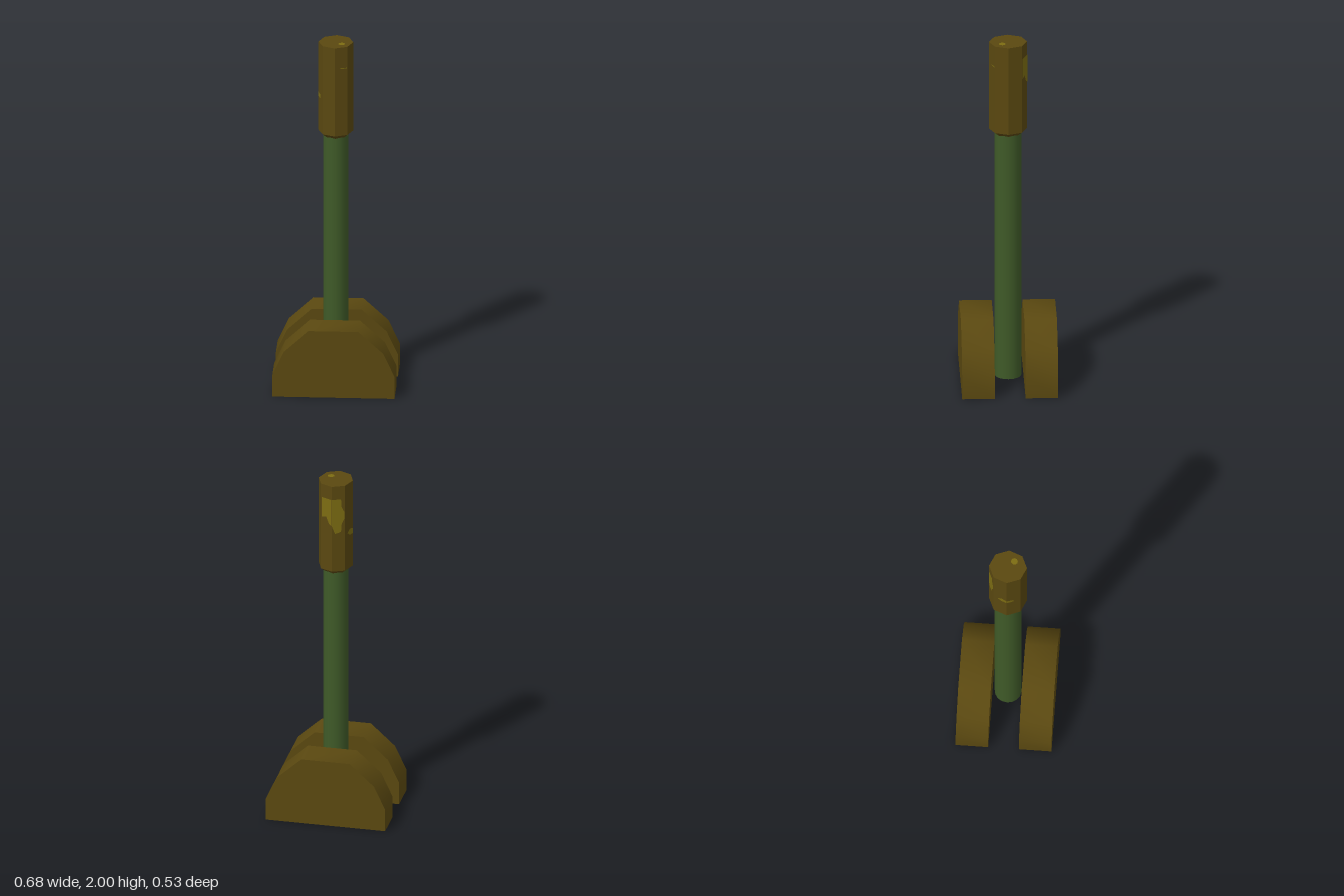
import * as THREE from 'three';

const bronze = new THREE.MeshStandardMaterial({ color: 0x5a4810, side: THREE.DoubleSide });
const green = new THREE.MeshStandardMaterial({ color: 0x3f5a28, side: THREE.DoubleSide });
const wornYellow = new THREE.MeshStandardMaterial({ color: 0x7c6c12, side: THREE.DoubleSide });
bronze.name = 'bronze';
green.name = 'green';
wornYellow.name = 'wornYellow';

const GRIP_X = 0.096, GRIP_Z = 0.105;

function addMesh(parent, name, geometry, material) {
  const mesh = new THREE.Mesh(geometry, material);
  mesh.name = name;
  parent.add(mesh);
  return mesh;
}

// Hollow base block, open underneath: two flat cheeks and a smooth rim
const outline = [[-0.338, 0], [-0.338, 0.13], [-0.275, 0.265], [-0.138, 0.39],
  [0.138, 0.39], [0.275, 0.265], [0.338, 0.13], [0.338, 0]];

function baseBlock(name, z) {
  const block = new THREE.Group();
  const half = 0.09;
  block.name = name;
  block.position.z = z;

  const shape = new THREE.Shape(outline.map(([x, y]) => new THREE.Vector2(x, y)));
  const cheek = new THREE.ShapeGeometry(shape);
  addMesh(block, 'frontCheek', cheek, bronze).position.z = half;
  const back = addMesh(block, 'backCheek', cheek, bronze);
  back.position.z = -half;
  back.rotation.y = Math.PI;

  const rim = new THREE.PlaneGeometry(1, 1, outline.length - 1, 1);
  const pos = rim.attributes.position;
  for (let i = 0; i < pos.count; i++) {
    const [x, y] = outline[i % outline.length];
    pos.setXYZ(i, x, y, i < outline.length ? -half : half);
  }
  rim.computeVertexNormals();
  addMesh(block, 'rim', rim, bronze);
  return block;
}

// Corner of the eight-sided grip, counted from +z towards +x
function gripCorner(k) {
  const a = k * Math.PI / 4;
  return new THREE.Vector3(Math.sin(a) * GRIP_X, 0, Math.cos(a) * GRIP_Z);
}

// Worn patch laid on one grip face; points are [fraction across the face, height]
function facePatch(face, points) {
  const geometry = new THREE.ShapeGeometry(
    new THREE.Shape(points.map(([s, y]) => new THREE.Vector2(s, y))));
  const a = gripCorner(face), b = gripCorner(face + 1);
  const out = new THREE.Vector3(a.z - b.z, 0, b.x - a.x).normalize().multiplyScalar(0.0015);
  const pos = geometry.attributes.position;
  for (let i = 0; i < pos.count; i++) {
    const p = a.clone().lerp(b, pos.getX(i)).add(out);
    pos.setXYZ(i, p.x, pos.getY(i), p.z);
  }
  geometry.computeVertexNormals();
  return geometry;
}

export function createModel() {
  const model = new THREE.Group();
  model.name = 'lever';

  // Base blocks either side of the rod
  model.add(baseBlock('frontBase', 0.175), baseBlock('backBase', -0.175));

  // Rod, open at the foot
  const rod = new THREE.CylinderGeometry(0.07, 0.07, 1.46, 16, 1, true);
  rod.scale(0.98, 1, 1.05);
  rod.translate(0, 0.73, 0);
  addMesh(model, 'rod', rod, green);

  // Faceted grip with a chamfered lower end
  const profile = [[0.7, 1.455], [1, 1.48], [1, 2], [0, 2]]
    .map(([r, y]) => new THREE.Vector2(r, y));
  const lathe = new THREE.LatheGeometry(profile, 8);
  lathe.scale(GRIP_X, 1, GRIP_Z);
  const grip = lathe.toNonIndexed();
  grip.computeVertexNormals();
  addMesh(model, 'grip', grip, bronze);

  // Worn patches on the grip
  const patches = [
    [3, [[0.1, 1.8], [0.5, 1.81], [0.75, 1.77], [1, 1.76], [1, 1.92], [0.1, 1.92]]],
    [4, [[0, 1.76], [0.25, 1.71], [0.7, 1.72], [0.75, 1.77], [0.95, 1.8],
      [0.95, 1.84], [0.75, 1.87], [0.7, 1.92], [0, 1.92]]],
    [5, [[0.3, 1.7], [0.6, 1.68], [1, 1.68], [1, 1.71], [0.6, 1.72]]],
    [6, [[0, 1.68], [0.5, 1.68], [0.5, 1.7], [0, 1.71]]],
    [0, [[0.45, 1.875], [0.95, 1.873], [0.95, 1.878], [0.45, 1.88]]],
  ];
  for (const [face, points] of patches) addMesh(model, 'wornPatch', facePatch(face, points), wornYellow);

  const spot = new THREE.CircleGeometry(0.019, 9);
  spot.rotateX(-Math.PI / 2);
  addMesh(model, 'wornTopSpot', spot, wornYellow).position.set(0.034, 2.001, 0.033);

  return model;
}
